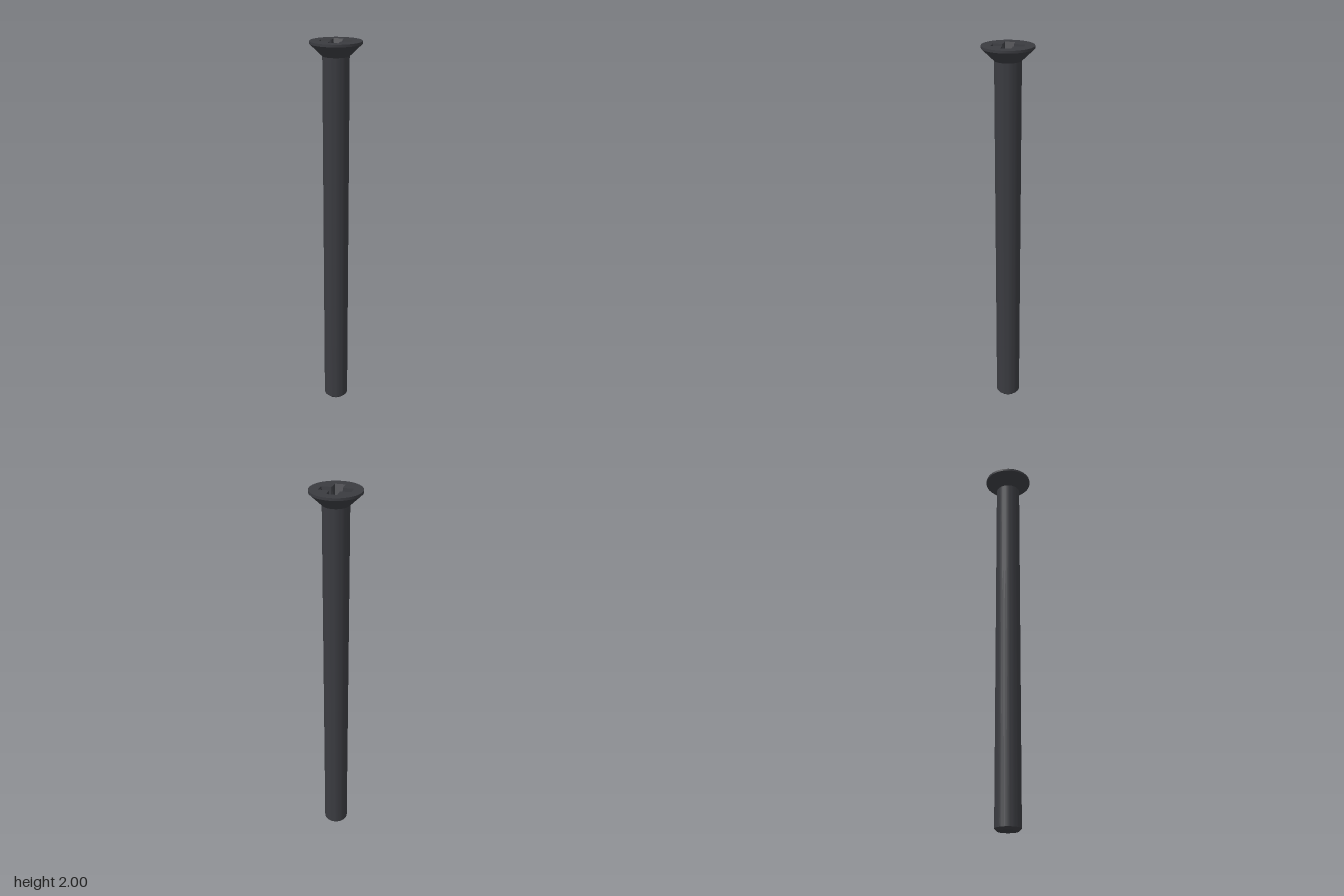
import * as THREE from 'three';
import { toCreasedNormals } from 'three/addons/utils/BufferGeometryUtils.js';

const SEGMENTS = 48;
const HEAD_RADIUS = 0.126;
const DEPTH = 0.075; // depth of the driver recess

// Revolved part with sharp profile corners
function lathe(profile) {
  const points = profile.map(([r, y]) => new THREE.Vector2(r, y));
  return toCreasedNormals(new THREE.LatheGeometry(points, SEGMENTS), Math.PI / 6);
}

// Counter-clockwise cross: arm length, arm half width, inner corner cut
function crossOutline(length, half, inner) {
  const points = [];
  for (let i = 0; i < 4; i++) {
    for (const [x, y] of [[inner, -half], [length, -half], [length, half], [inner, half]]) {
      points.push(new THREE.Vector2(x, y).rotateAround(new THREE.Vector2(), i * Math.PI / 2));
    }
  }
  return points;
}

// Sloping walls between the upper and lower cross, facing inwards
function recessWalls(upper, lower) {
  const positions = [];
  upper.forEach((a, i) => {
    const j = (i + 1) % upper.length;
    const b = upper[j], c = lower[j], d = lower[i];
    positions.push(b.x, b.y, 0, c.x, c.y, -DEPTH, d.x, d.y, -DEPTH);
    positions.push(b.x, b.y, 0, d.x, d.y, -DEPTH, a.x, a.y, 0);
  });
  const geometry = new THREE.BufferGeometry();
  geometry.setAttribute('position', new THREE.Float32BufferAttribute(positions, 3));
  geometry.computeVertexNormals();
  return geometry;
}

export function createModel() {
  const group = new THREE.Group();
  const material = new THREE.MeshStandardMaterial({ color: 0x3a3b40 });
  const add = (name, geometry) => {
    const mesh = new THREE.Mesh(geometry, material);
    mesh.name = name;
    group.add(mesh);
    return mesh;
  };

  // Plain shank with a chamfered tip
  add('shank', lathe([[0, 0], [0.052, 0], [0.065, 0.013], [0.065, 1.93]]));

  // Countersunk head with a thin straight rim
  add('head', lathe([[0.065, 1.93], [HEAD_RADIUS, 1.988], [HEAD_RADIUS, 2]]));

  // Flat top face, pierced by the cross
  const upper = crossOutline(0.077, 0.025, 0.031);
  const lower = crossOutline(0.052, 0.018, 0.027);
  const top = new THREE.Shape().absarc(0, 0, HEAD_RADIUS, 0, Math.PI * 2);
  top.holes.push(new THREE.Path(upper));
  add('headTop', new THREE.ShapeGeometry(top, SEGMENTS / 2).rotateX(-Math.PI / 2)).position.y = 2;

  // Tapered cross recess
  add('recessWalls', recessWalls(upper, lower).rotateX(-Math.PI / 2)).position.y = 2;

  // Recess floor around a conical pit
  const pitRadius = 0.031;
  const floor = new THREE.Shape(lower);
  floor.holes.push(new THREE.Path().absarc(0, 0, pitRadius, 0, Math.PI * 2, true));
  add('recessFloor', new THREE.ShapeGeometry(floor, SEGMENTS / 2).rotateX(-Math.PI / 2)).position.y = 2 - DEPTH;
  add('recessPit', lathe([[pitRadius, 2 - DEPTH], [0, 1.985 - DEPTH]]));

  return group;
}
